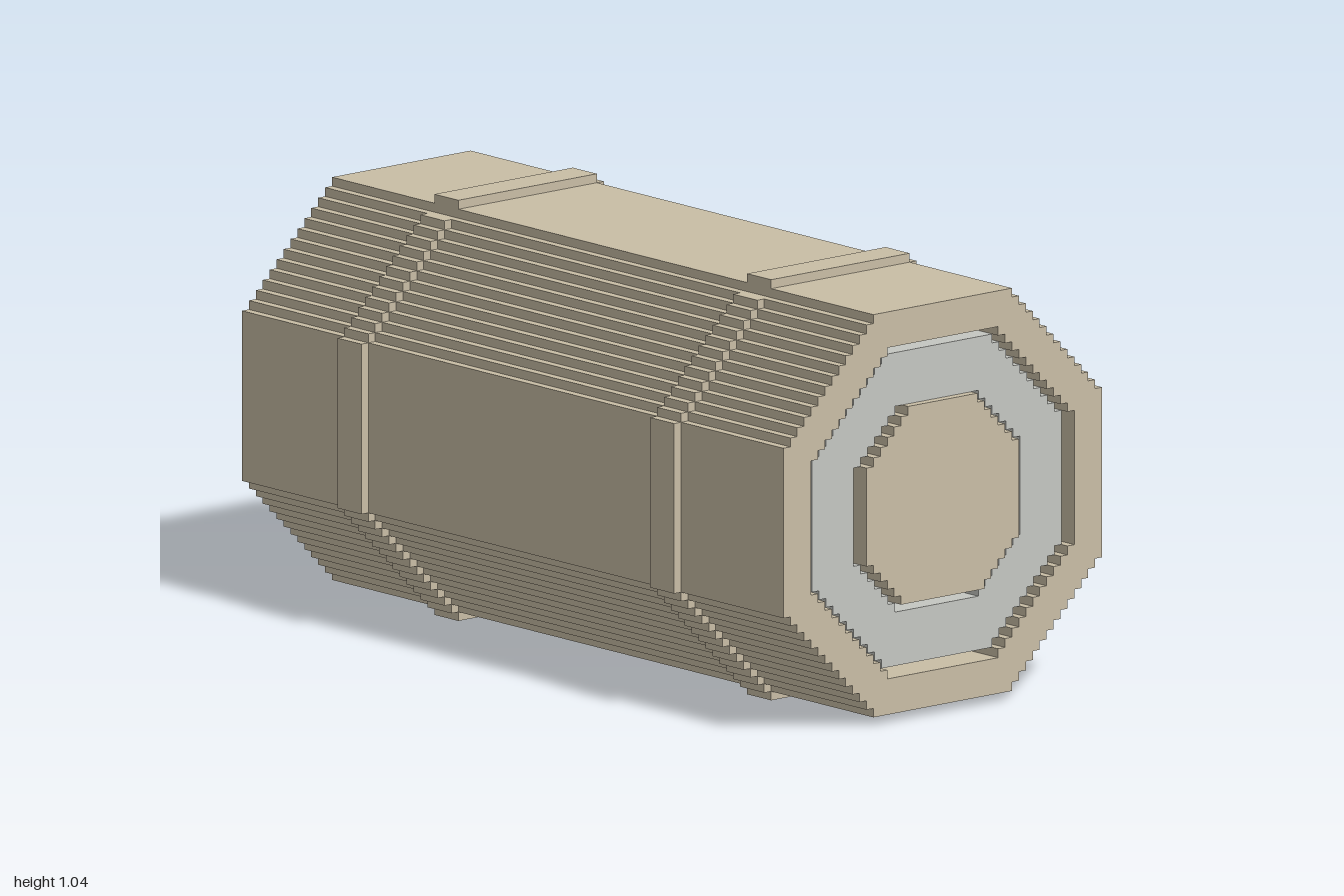
import * as THREE from 'three';

const U = 2 / 90; // one step of the staircase outline

// Corners of a stepped octagon: half widths grow by one per row from the
// flat top and flat bottom until they reach halfWidth.
function steppedOctagon(topHalf, halfWidth, y0, y1, bottomHalf = topHalf) {
  const right = [];
  for (let k = bottomHalf; k <= halfWidth; k++) {
    const y = y0 + k - bottomHalf;
    right.push(new THREE.Vector2(k, y));
    if (k < halfWidth) right.push(new THREE.Vector2(k, y + 1));
  }
  for (let k = halfWidth; k >= topHalf; k--) {
    const y = y1 - (k - topHalf);
    if (k < halfWidth) right.push(new THREE.Vector2(k, y - 1));
    right.push(new THREE.Vector2(k, y));
  }
  const left = right.map((p) => new THREE.Vector2(-p.x, p.y)).reverse();
  return [...right, ...left];
}

// Extrudes an outline (with an optional hole) along x between x0 and x1.
function prism(name, outline, hole, x0, x1, material) {
  const shape = new THREE.Shape(outline);
  if (hole) shape.holes.push(new THREE.Path(hole));
  const geometry = new THREE.ExtrudeGeometry(shape, { depth: x1 - x0, bevelEnabled: false });
  geometry.translate(0, 0, x0);
  geometry.rotateY(Math.PI / 2);
  geometry.scale(U, U, U);
  const mesh = new THREE.Mesh(geometry, material);
  mesh.name = name;
  return mesh;
}

export function createModel() {
  const group = new THREE.Group();
  group.name = 'canister';
  const tan = new THREE.MeshStandardMaterial({ name: 'tan', color: 0xcabfa7 });
  const grey = new THREE.MeshStandardMaterial({ name: 'paleGrey', color: 0xc6c8c3 });

  // Outer shell, open from end to end
  group.add(prism('shell', steppedOctagon(10, 23, 1, 46), steppedOctagon(8, 19, 5, 42), -45, 45, tan));

  // Inner tube, set back one step at both ends
  group.add(prism('innerTube', steppedOctagon(8, 18, 6, 41), steppedOctagon(6, 12, 12, 35), -44, 44, grey));

  // Core, level with the shell ends and touching the tube along its top
  group.add(prism('core', steppedOctagon(5, 11, 13, 35, 6), null, -45, 45, tan));

  // Bands around the shell, with a small notch at the upper front edge
  const bandOutline = steppedOctagon(10, 24, 0, 47)
    .filter((p) => !(p.x < 0 && p.y === 46))
    .map((p) => (p.x === -11 && p.y === 45 ? new THREE.Vector2(-10, 45) : p));
  const bandHole = steppedOctagon(9, 21, 3, 44);
  group.add(prism('rightBand', bandOutline, bandHole, -28, -24, tan));
  group.add(prism('leftBand', bandOutline, bandHole, 24, 28, tan));

  return group;
}
